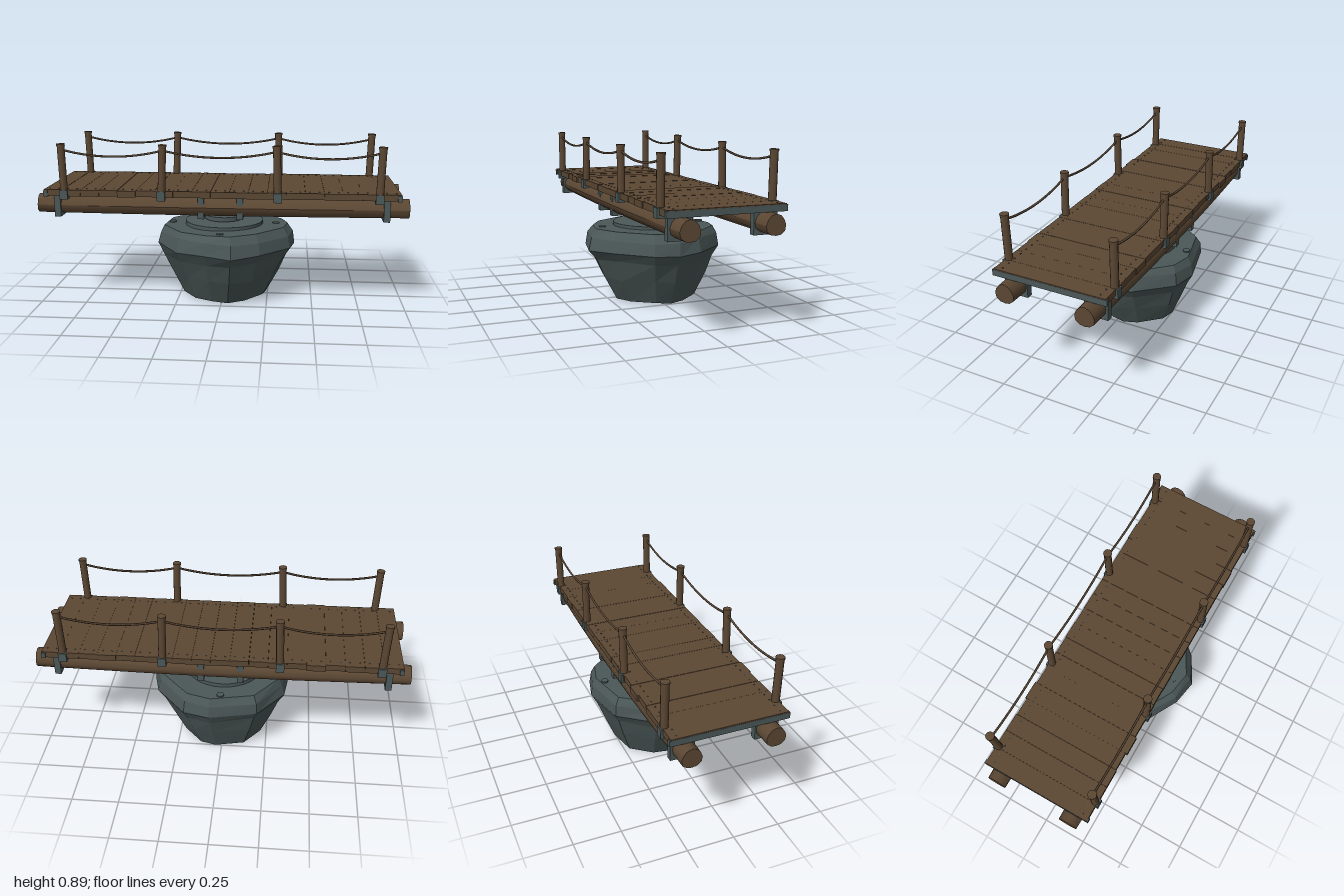
import * as THREE from 'three';

const wood = new THREE.MeshStandardMaterial({ color: 0x5b4733 });
wood.name = 'wood';
const iron = new THREE.MeshStandardMaterial({ color: 0x4c5858 });
iron.name = 'iron';
const stone = new THREE.MeshStandardMaterial({ color: 0x4b5757, flatShading: true });
stone.name = 'stone';
const rope = new THREE.MeshStandardMaterial({ color: 0x544230 });
rope.name = 'rope';

const CZ = -0.02; // pivot line of the bridge

export function createModel() {
  const model = new THREE.Group();
  model.name = 'swingBridge';

  let seed = 7;
  const jitter = (a) => {
    seed = (seed * 16807) % 2147483647;
    return (seed / 2147483647 - 0.5) * 2 * a;
  };
  const add = (name, geo, mat, x, y, z) => {
    const m = new THREE.Mesh(geo, mat);
    m.name = name;
    m.position.set(x, y, z);
    model.add(m);
    return m;
  };
  const box = (name, mat, w, h, d, x, y, z) =>
    add(name, new THREE.BoxGeometry(w, h, d), mat, x, y, z);
  const disc = (name, mat, r, y0, y1, x = 0, z = CZ, n = 32) =>
    add(name, new THREE.CylinderGeometry(r, r, y1 - y0, n), mat, x, (y0 + y1) / 2, z);

  // Faceted rock: one irregular outline scaled through several heights
  const outline = [
    [0.4, -0.025], [0.375, 0.11], [0.215, 0.29], [0.065, 0.375], [-0.08, 0.35], [-0.24, 0.26],
    [-0.37, 0.06], [-0.345, -0.14], [-0.2, -0.325], [0.06, -0.38], [0.2, -0.345], [0.365, -0.16],
  ];
  const levels = [[0.004, 0.61], [0.14, 0.78], [0.245, 0.9], [0.3, 1], [0.37, 0.965], [0.41, 0.9]];
  const n = outline.length;
  const pos = [];
  const idx = [];
  levels.forEach(([y, s], j) => {
    const inner = j > 0 && j < levels.length - 1;
    outline.forEach(([x, z]) => {
      const k = s + (inner && s < 1 ? jitter(0.015) : 0);
      const c = 1 - s;
      pos.push(x * k - 0.01 * c, y + jitter(inner ? 0.01 : 0.004), z * k - 0.06 * c);
    });
  });
  for (let j = 0; j < levels.length - 1; j++) {
    for (let i = 0; i < n; i++) {
      const a = j * n + i, b = j * n + ((i + 1) % n);
      idx.push(a, a + n, b, b, a + n, b + n);
    }
  }
  const top = (levels.length - 1) * n;
  for (let i = 1; i < n - 1; i++) {
    idx.push(0, i, i + 1); // underside
    idx.push(top, top + i + 1, top + i); // top
  }
  const indexed = new THREE.BufferGeometry();
  indexed.setAttribute('position', new THREE.Float32BufferAttribute(pos, 3));
  indexed.setIndex(idx);
  const rock = indexed.toNonIndexed();
  rock.computeVertexNormals();
  add('rock', rock, stone, 0, 0, 0);

  // Turntable
  disc('basePlate', iron, 0.22, 0.405, 0.43);
  disc('pivotRing', iron, 0.108, 0.437, 0.461);
  disc('pivotWasher', wood, 0.078, 0.463, 0.471);
  disc('pivotColumn', wood, 0.072, 0.472, 0.493);
  disc('pivotCap', iron, 0.07, 0.492, 0.515);
  for (let i = 0; i < 4; i++) {
    const a = (i * Math.PI) / 2;
    disc('anchorBolt', iron, 0.02, 0.408, 0.416, 0.295 * Math.cos(a), CZ + 0.295 * Math.sin(a), 8);
  }

  // Two long logs, uneven in section and thicker in the middle, with iron clamps
  for (const z of [0.193, -0.239]) {
    const geo = new THREE.CylinderGeometry(0.052, 0.052, 2, 12, 10);
    const p = geo.attributes.position;
    const outward = Math.sign(z);
    for (let i = 0; i < p.count; i++) {
      const x = p.getX(i), pz = p.getZ(i);
      const bulge = 1 - p.getY(i) ** 2;
      const knot = 1 + 0.05 * Math.cos(3 * Math.atan2(pz, x));
      p.setX(i, x * knot * (1 + 0.06 * bulge));
      p.setZ(i, pz * knot * (1 + 0.28 * bulge) + outward * 0.005 * bulge);
    }
    geo.computeVertexNormals();
    geo.rotateZ(Math.PI / 2);
    add('log', geo, wood, 0, 0.552, z);
    for (const x of [-0.885, -0.105, 0.105, 0.88]) {
      box('logClamp', iron, 0.034, 0.12, 0.125, x, 0.55, z + outward * 0.003);
    }
  }
  for (const x of [-0.105, 0.105]) box('crossBeam', iron, 0.034, 0.046, 0.54, x, 0.512, CZ);

  // Deck: nineteen planks with slightly uneven lengths and nails
  for (let i = 0; i < 19; i++) {
    const x = -0.9 + i * 0.1;
    const long = i === 4 || i === 15 ? 0.012 : 0;
    const w = 0.0993 + jitter(0.0006);
    box('plank', wood, w, 0.034, 0.606 + long + jitter(0.004), x, 0.6265 + jitter(0.001), CZ);
    for (const side of [-1, 1]) {
      for (const dx of [-0.025, 0.025]) {
        disc('nail', iron, 0.004, 0.64, 0.6465, x + dx, CZ + side * 0.265, 6);
      }
    }
  }
  for (const s of [-1, 1]) box('endBar', iron, 0.022, 0.032, 0.618, s * 0.94, 0.622, CZ);

  // Railing posts with brackets and sagging ropes, mirrored across the deck
  const posts = [[-0.84, -0.85], [-0.314, -0.304], [0.306, 0.298], [0.836, 0.844]];
  for (const side of [-1, 1]) {
    const z = CZ + side * 0.29;
    const tops = posts.map(([x0, x1]) => {
      const post = disc('post', wood, 0.0205, 0.6, 0.885, (x0 + x1) / 2, z, 12);
      const lean = Math.atan2(x0 - x1, 0.285);
      post.rotation.z = lean;
      const cap = disc('postCap', wood, 0.023, 0.879, 0.89, x1, z, 12);
      cap.rotation.z = lean;
      box('postBracket', iron, 0.044, 0.05, 0.036, x0, 0.617, z + side * 0.007);
      return x1;
    });
    for (let i = 0; i < 3; i++) {
      const a = tops[i], b = tops[i + 1];
      const pts = [];
      for (let k = 0; k <= 8; k++) {
        const t = k / 8;
        pts.push(new THREE.Vector3(a + (b - a) * t, 0.859 - 0.14 * t * (1 - t), z));
      }
      add('rope', new THREE.TubeGeometry(new THREE.CatmullRomCurve3(pts), 24, 0.006, 6), rope, 0, 0, 0);
    }
  }
  return model;
}
